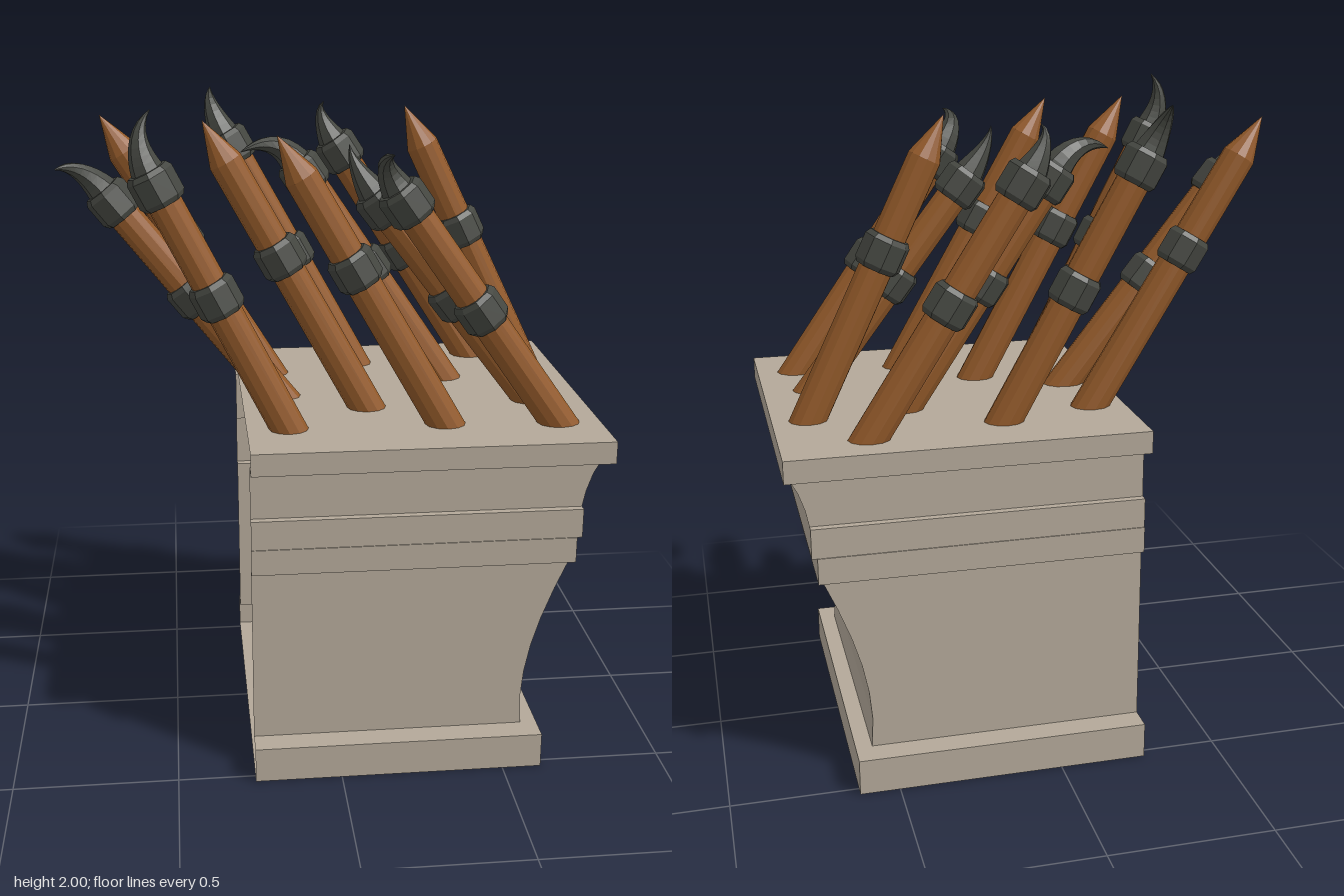
import * as THREE from 'three';

const UP = new THREE.Vector3(0, 1, 0);
const V = (p) => new THREE.Vector3(...p);
const stone = new THREE.MeshStandardMaterial({ color: 0xb3a899, flatShading: true, side: THREE.DoubleSide });
const wood = new THREE.MeshStandardMaterial({ color: 0x935a2a, flatShading: true });
const iron = new THREE.MeshStandardMaterial({ color: 0x454741, flatShading: true });

function addMesh(parent, name, geometry, material) {
  const mesh = new THREE.Mesh(geometry, material);
  mesh.name = name;
  parent.add(mesh);
  return mesh;
}

// Three-sided moulded shell, open at -x: levels are [y, front x, half width in z]
function shellGeometry(levels, back) {
  const pos = [];
  const ring = ([y, x, z]) => [[back, y, z], [x, y, z], [x, y, -z], [back, y, -z]];
  const quad = (a, b, c, d) => pos.push(...a, ...b, ...c, ...a, ...c, ...d);
  const rings = levels.map(ring);
  for (let i = 0; i < rings.length - 1; i++) {
    for (let s = 0; s < 3; s++) {
      quad(rings[i][s], rings[i][s + 1], rings[i + 1][s + 1], rings[i + 1][s]);
    }
  }
  quad(...rings[0].slice().reverse());
  quad(...rings[rings.length - 1]);
  const g = new THREE.BufferGeometry();
  g.setAttribute('position', new THREE.Float32BufferAttribute(pos, 3));
  g.computeVertexNormals();
  return g;
}

// Curved horn: a tube whose rings shrink toward the tip
function clawGeometry(curve, radius) {
  const rings = 9, sides = 8;
  const g = new THREE.TubeGeometry(curve, rings, radius, sides);
  const p = g.attributes.position, v = new THREE.Vector3();
  for (let i = 0; i < p.count; i++) {
    const t = Math.floor(i / (sides + 1)) / rings;
    v.fromBufferAttribute(p, i);
    v.lerp(curve.getPointAt(t), Math.min(0.98, Math.pow(t, 1.15)));
    p.setXYZ(i, v.x, v.y, v.z);
  }
  g.computeVertexNormals();
  return g;
}

// Chamfered octagonal band
const collarGeometry = new THREE.LatheGeometry(
  [[0.045, -0.052], [0.06, -0.052], [0.07, -0.037], [0.07, 0.037], [0.06, 0.052], [0, 0.052]]
    .map(([x, y]) => new THREE.Vector2(x, y)), 8);

// Stake from base to end; sharpened wood, or capped by a claw when clawTip is given
function makeStake(base, end, collarY, clawTip) {
  const stake = new THREE.Group();
  stake.name = clawTip ? 'clawedStake' : 'sharpenedStake';
  const b = V(base), e = V(end);
  const dir = e.clone().sub(b).normalize();
  b.addScaledVector(dir, -0.04);
  const length = b.distanceTo(e);

  const profile = clawTip
    ? [[0, 0], [0.053, 0], [0.05, length], [0, length]]
    : [[0, 0], [0.053, 0], [0.05, length - 0.135], [0, length]];
  const shaft = addMesh(stake, 'shaft',
    new THREE.LatheGeometry(profile.map(([x, y]) => new THREE.Vector2(x, y)), 12), wood);
  shaft.position.copy(b);
  shaft.quaternion.setFromUnitVectors(UP, dir);

  const addCollar = (name, point) => {
    const c = addMesh(stake, name, collarGeometry, iron);
    c.position.copy(point);
    c.quaternion.copy(shaft.quaternion);
  };
  addCollar('middleCollar', b.clone().addScaledVector(dir, (collarY - b.y) / dir.y));

  if (clawTip) {
    addCollar('headCollar', e);
    const curve = new THREE.QuadraticBezierCurve3(
      e.clone().addScaledVector(dir, 0.03), e.clone().addScaledVector(dir, 0.16), V(clawTip));
    addMesh(stake, 'claw', clawGeometry(curve, 0.052), iron);
  }
  return stake;
}

export function createModel() {
  const model = new THREE.Group();
  model.name = 'stakePedestal';

  // Plinth, flared body, double band, cove and top slab
  const levels = [
    [0, 0.62, 0.532], [0.11, 0.62, 0.532], [0.11, 0.57, 0.453],
    [0.2, 0.565, 0.453], [0.29, 0.573, 0.453], [0.38, 0.591, 0.453], [0.47, 0.618, 0.453],
    [0.57, 0.656, 0.453], [0.665, 0.698, 0.453],
    [0.665, 0.71, 0.48], [0.745, 0.71, 0.48], [0.745, 0.726, 0.477], [0.835, 0.726, 0.477],
    [0.835, 0.726, 0.453], [0.885, 0.736, 0.453], [0.94, 0.755, 0.453], [0.997, 0.787, 0.453],
    [0.997, 0.798, 0.532], [1.065, 0.798, 0.532],
  ];
  addMesh(model, 'pedestal', shellGeometry(levels, -0.265), stone);

  const y = 1.065;
  const stakes = [
    // Sharpened stakes: base, tip, collar height
    [[-0.16, y, -0.245], [-0.68, 1.92, -0.24], 1.53],
    [[0.69, y, -0.185], [0.267, 1.945, -0.178], 1.555],
    [[0.115, y, 0.14], [-0.37, 1.95, 0.15], 1.545],
    [[0.33, y, 0.32], [-0.167, 1.93, 0.33], 1.545],
    // Clawed stakes: base, head, collar height, claw tip
    [[0.54, y, -0.4], [0.09, 1.77, -0.4], 1.44, [0.035, 1.935, -0.385]],
    [[0.13, y, -0.33], [-0.27, 1.8, -0.345], 1.45, [-0.33, 1.98, -0.43]],
    [[0.4, y, -0.145], [-0.05, 1.74, -0.15], 1.44, [-0.25, 1.82, -0.09]],
    [[-0.145, y, 0.005], [-0.637, 1.69, 0.005], 1.4, [-0.8, 1.805, 0.09]],
    [[0.64, y, 0.12], [0.16, 1.69, 0.125], 1.4, [0.06, 1.87, 0.125]],
    [[-0.14, y, 0.32], [-0.505, 1.79, 0.32], 1.47, [-0.515, 2.0, 0.3]],
    [[0.67, y, 0.34], [0.195, 1.74, 0.365], 1.42, [0.145, 1.89, 0.465]],
  ];
  stakes.forEach((s) => model.add(makeStake(...s)));
  return model;
}
